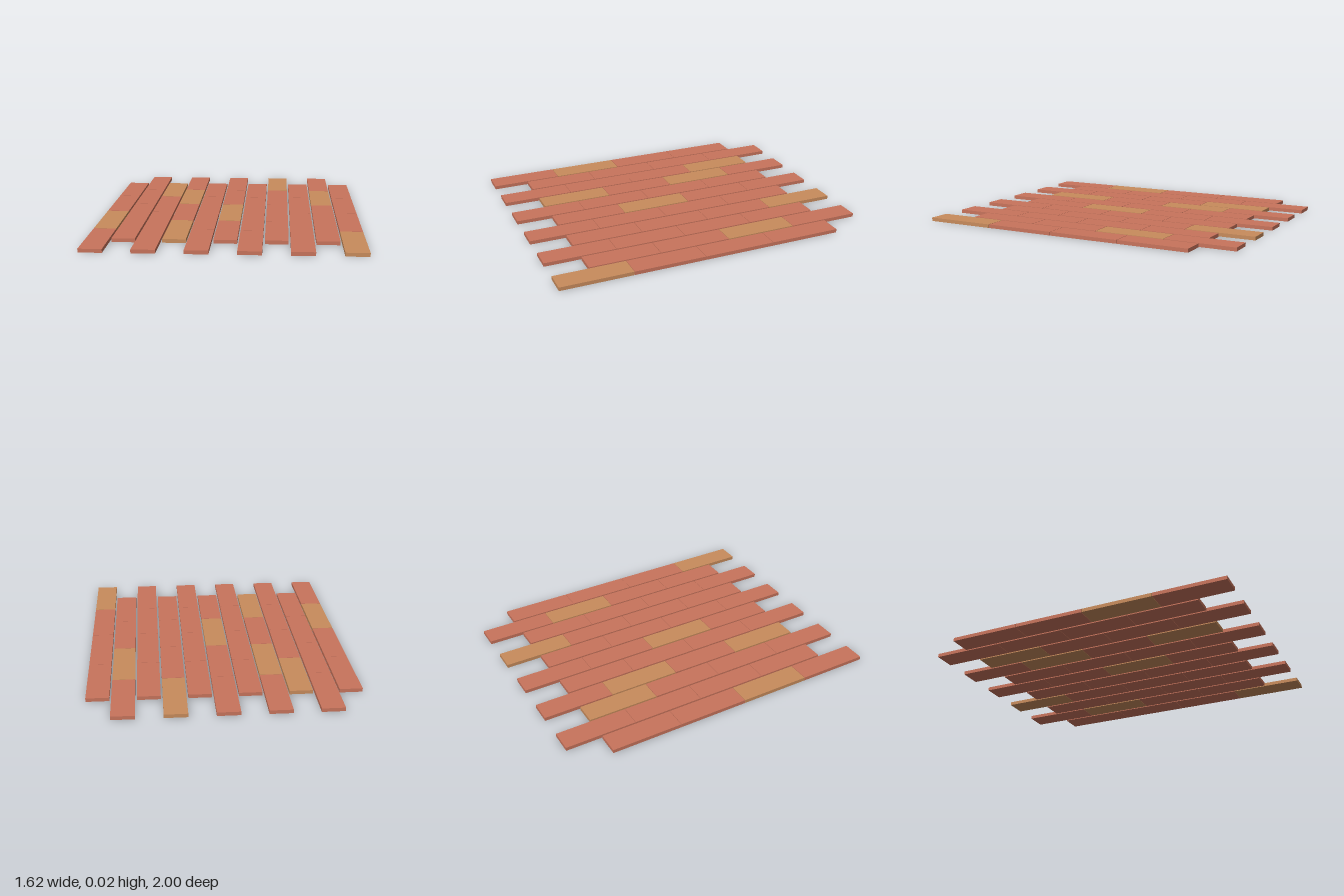
import * as THREE from 'three';

export function createModel() {
  const group = new THREE.Group();
  group.name = 'brickPaving';

  const terracotta = new THREE.MeshStandardMaterial({ color: 0xc8745c });
  terracotta.name = 'terracotta';
  const ochre = new THREE.MeshStandardMaterial({ color: 0xc88c5c });
  ochre.name = 'ochre';

  const columns = 11, rows = 4;
  const width = 0.137, height = 0.022, length = 0.4422;
  const pitchX = 0.148, pitchZ = 0.445;
  const brick = new THREE.BoxGeometry(width, height, length);

  // Ochre bricks, as row numbers from the back, per column
  const ochreRows = { 0: [2], 2: [0], 3: [1, 3], 5: [2], 7: [0], 9: [1], 10: [3] };

  // Running bond: neighbouring columns are staggered by half a brick
  for (let c = 0; c < columns; c++) {
    const column = new THREE.Group();
    column.name = `brickColumn${c + 1}`;
    column.position.x = (c - (columns - 1) / 2) * pitchX;
    const shift = (c % 2 === 0 ? 1 : -1) * pitchZ / 4;
    for (let r = 0; r < rows; r++) {
      const isOchre = (ochreRows[c] || []).includes(r);
      const mesh = new THREE.Mesh(brick, isOchre ? ochre : terracotta);
      mesh.name = isOchre ? 'ochreBrick' : 'terracottaBrick';
      mesh.position.set(0, height / 2, (r - (rows - 1) / 2) * pitchZ + shift);
      column.add(mesh);
    }
    group.add(column);
  }
  return group;
}
